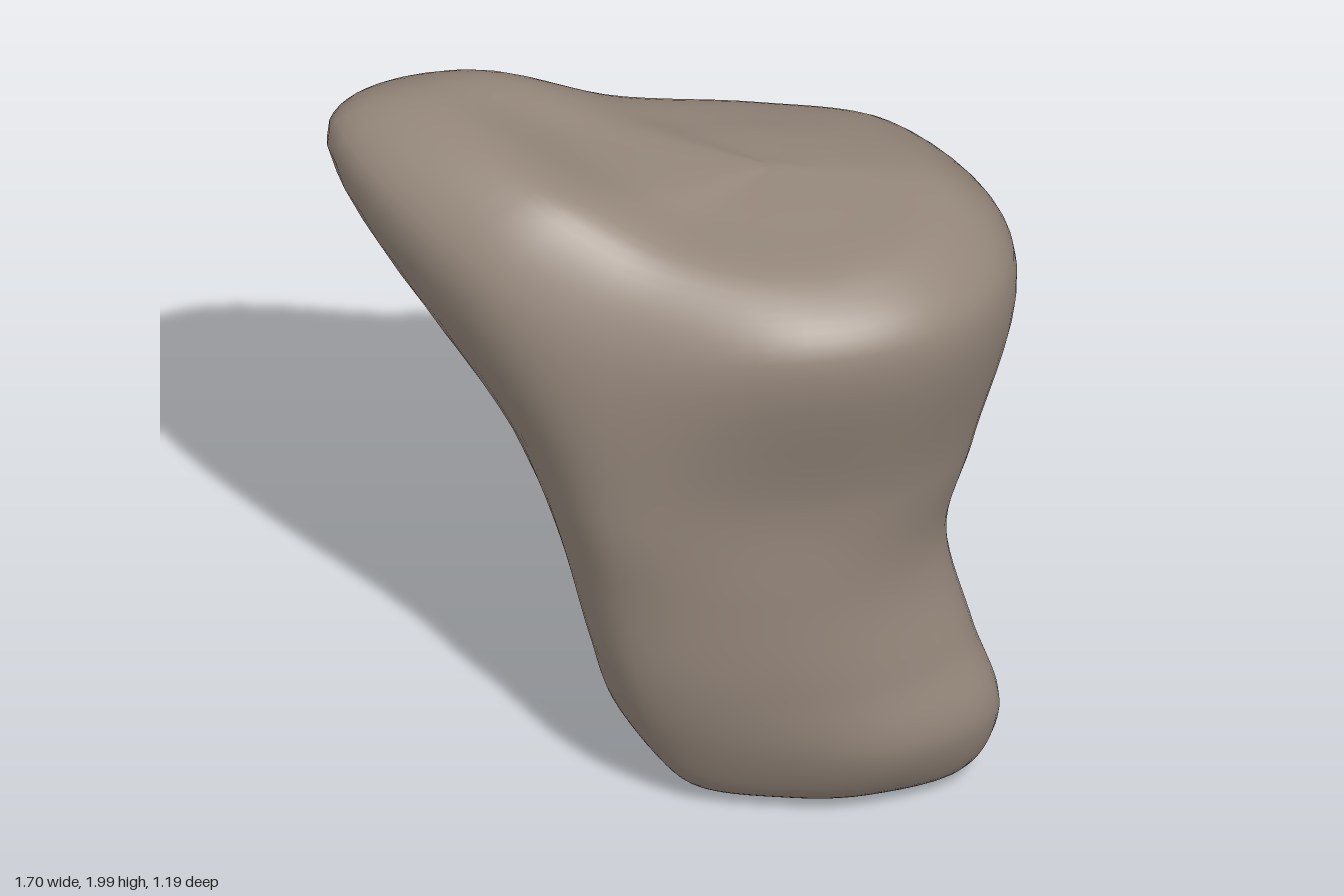
import * as THREE from 'three';

const AXIS_X = 0.25; // the side profiles fan out around a vertical axis here
const BOTTOM = new THREE.Vector3(AXIS_X, 0.04, 0);
const TOP = new THREE.Vector3(AXIS_X, 1.835, 0);
const AROUND = 72, UP = 80;

// Side profile at an angle (degrees, +x towards +z). Radii at the foot, bulge,
// hip, waist and chest, then the overhanging rim and the height of the crown.
function profile(degrees, [foot, bulge, hip, waist, chest], rim, rimY, crownY) {
  const a = THREE.MathUtils.degToRad(degrees);
  const at = (r, y) => new THREE.Vector3(AXIS_X + r * Math.cos(a), y, r * Math.sin(a));
  return new THREE.CatmullRomCurve3([
    BOTTOM,
    at(foot * 0.65, 0.01),
    at(foot, 0.07),
    at(bulge, 0.27),
    at(hip, 0.5),
    at(waist, 0.8),
    at(chest, 1.1),
    at(rim, rimY),
    at(rim * 0.77, crownY),
    at(rim * 0.4, THREE.MathUtils.lerp(crownY, TOP.y, 0.68)),
    TOP,
  ]);
}

// The lower half is a slanted oblong: long towards 25 and 225 degrees
const profiles = [
  profile(0, [0.38, 0.47, 0.43, 0.38, 0.47], 0.59, 1.6, 1.77), // left
  profile(25, [0.51, 0.6, 0.53, 0.46, 0.53], 0.625, 1.61, 1.77),
  profile(55, [0.38, 0.51, 0.49, 0.46, 0.5], 0.62, 1.64, 1.78),
  profile(90, [0.3, 0.41, 0.45, 0.46, 0.47], 0.59, 1.65, 1.79), // front
  profile(135, [0.32, 0.44, 0.53, 0.59, 0.65], 0.65, 1.62, 1.83),
  profile(160, [0.29, 0.43, 0.5, 0.57, 0.65], 0.85, 1.76, 1.95),
  profile(190, [0.3, 0.42, 0.46, 0.53, 0.68], 1.115, 1.88, 2.0), // horn
  profile(203, [0.33, 0.45, 0.48, 0.51, 0.62], 1.02, 1.8, 1.95),
  profile(225, [0.41, 0.56, 0.55, 0.49, 0.56], 0.72, 1.5, 1.78),
  profile(270, [0.34, 0.47, 0.46, 0.36, 0.48], 0.59, 1.35, 1.68), // back
  profile(310, [0.33, 0.43, 0.41, 0.35, 0.46], 0.62, 1.39, 1.68),
];

// Closed skin: a smooth ring through all profiles at each step, capped by two poles
function rockGeometry() {
  const points = [BOTTOM];
  const index = [];
  const last = 1 + UP * AROUND;
  const at = (i, j) => 1 + i * AROUND + (j % AROUND);
  for (let i = 0; i < UP; i++) {
    const t = (i + 1) / (UP + 1);
    const ring = new THREE.CatmullRomCurve3(profiles.map((p) => p.getPoint(t)), true);
    for (let j = 0; j < AROUND; j++) points.push(ring.getPoint(j / AROUND));
  }
  points.push(TOP);
  for (let j = 0; j < AROUND; j++) {
    index.push(0, at(0, j), at(0, j + 1));
    index.push(last, at(UP - 1, j + 1), at(UP - 1, j));
    for (let i = 0; i < UP - 1; i++) {
      index.push(at(i, j), at(i + 1, j), at(i, j + 1));
      index.push(at(i, j + 1), at(i + 1, j), at(i + 1, j + 1));
    }
  }
  const geometry = new THREE.BufferGeometry().setFromPoints(points);
  geometry.setIndex(index);
  geometry.computeVertexNormals();
  return geometry;
}

export function createModel() {
  const stone = new THREE.MeshStandardMaterial({ color: 0x94867a });
  stone.name = 'warm grey stone';
  const rock = new THREE.Mesh(rockGeometry(), stone);
  rock.name = 'rock';
  const model = new THREE.Group();
  model.name = 'standingRock';
  model.add(rock);
  return model;
}
